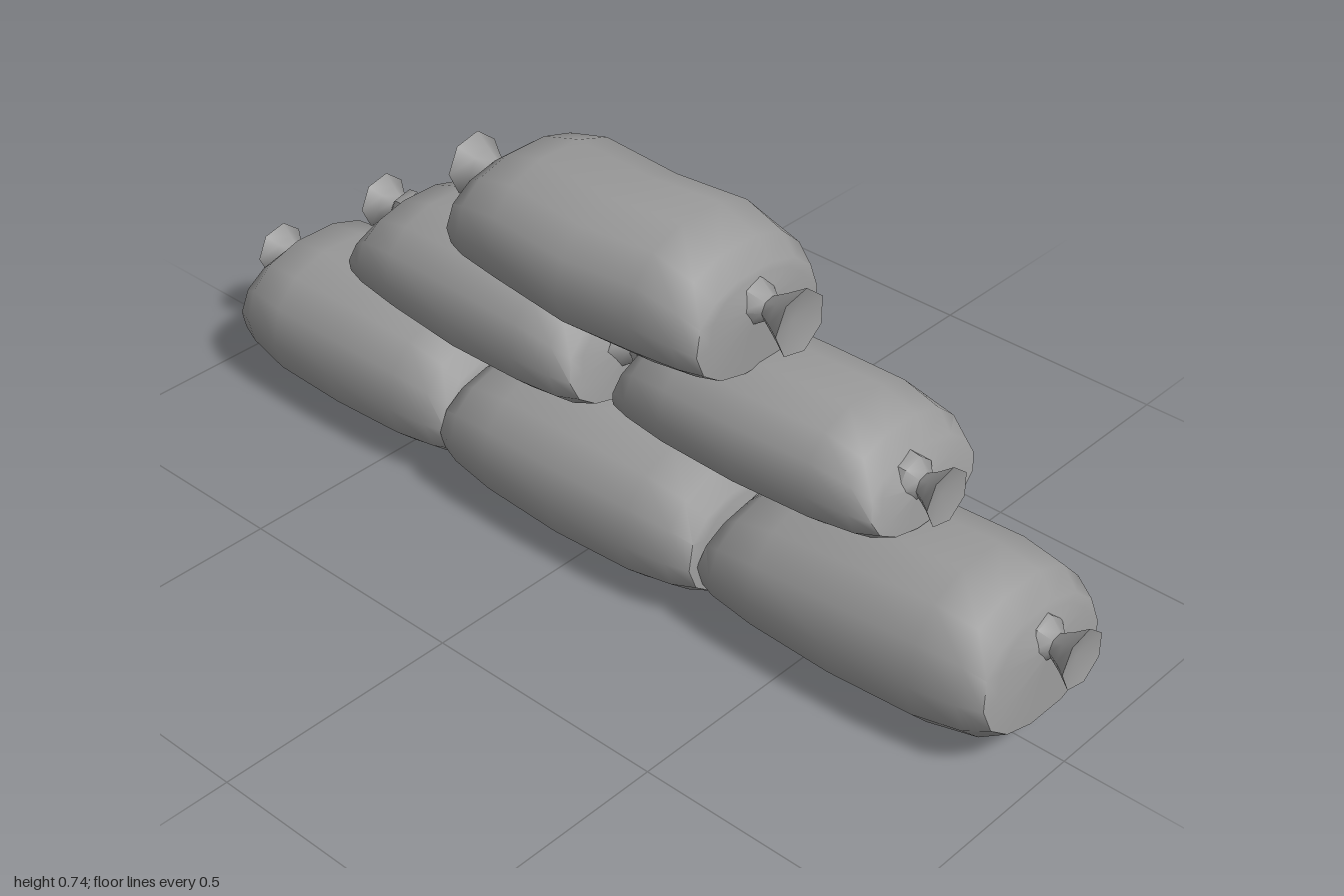
import * as THREE from 'three';
import { toCreasedNormals } from 'three/addons/utils/BufferGeometryUtils.js';

const SIDES = 14;
const STATIONS = [0, 0.07, 0.22, 0.5, 0.78, 0.93, 1];
const FULLNESS = [0.84, 0.93, 0.98, 1, 0.98, 0.93, 0.84];

// x: body ends; z: back and front; top / bottom: heights along the body;
// knot: [y, z, length] at the low-x end and the high-x end
const BAGS = [
  { name: 'bottomRightBag', x: [-0.93, -0.33], z: [-0.19, 0.2], tilt: 0.018,
    top: [0.26, 0.295, 0.303, 0.308, 0.298, 0.275, 0.24], bottom: [0.06, 0.04, 0.012, 0.006, 0.014, 0.032, 0.05],
    knots: [[0.2, 0, 0.085], [0.18, 0, 0.06]] },
  { name: 'bottomMiddleBag', x: [-0.34, 0.3], z: [-0.18, 0.205], tilt: 0.01,
    top: [0.235, 0.265, 0.288, 0.293, 0.29, 0.272, 0.24], bottom: [0.05, 0.035, 0.012, 0, 0.008, 0.03, 0.05],
    knots: [[0.17, 0, 0.06], [0.17, 0, 0.06]] },
  { name: 'bottomLeftBag', x: [0.3, 0.93], z: [-0.205, 0.185], tilt: 0.018,
    top: [0.23, 0.265, 0.295, 0.32, 0.33, 0.315, 0.275], bottom: [0.055, 0.04, 0.022, 0.008, 0.014, 0.04, 0.075],
    knots: [[0.17, 0, 0.06], [0.215, -0.02, 0.085]] },
  { name: 'middleRightBag', x: [-0.625, -0.03], z: [-0.18, 0.16], tilt: 0.022,
    top: [0.46, 0.5, 0.525, 0.53, 0.515, 0.49, 0.455], bottom: [0.32, 0.305, 0.285, 0.262, 0.264, 0.275, 0.295],
    knots: [[0.43, -0.02, 0.08], [0.395, -0.02, 0.085]] },
  { name: 'middleLeftBag', x: [0.045, 0.64], z: [-0.21, 0.128], tilt: 0.022,
    top: [0.45, 0.485, 0.503, 0.506, 0.508, 0.485, 0.445], bottom: [0.295, 0.285, 0.272, 0.268, 0.276, 0.295, 0.32],
    knots: [[0.395, -0.02, 0.085], [0.4, -0.02, 0.08]] },
  { name: 'topBag', x: [-0.315, 0.295], z: [-0.193, 0.188], tilt: 0.01,
    top: [0.69, 0.72, 0.745, 0.733, 0.748, 0.717, 0.68], bottom: [0.51, 0.5, 0.485, 0.466, 0.472, 0.485, 0.495],
    knots: [[0.63, 0, 0.105], [0.62, 0, 0.11]] },
];

// Rounded, slightly boxy section; wide point sits just below mid height
function ring(x, top, bottom, zBack, zFront, tilt) {
  const yMid = bottom + (top - bottom) * 0.46;
  const zMid = (zBack + zFront) / 2;
  const round = v => Math.sign(v) * Math.pow(Math.abs(v), 0.88);
  return Array.from({ length: SIDES }, (_, j) => {
    const a = (j / SIDES) * Math.PI * 2;
    const s = round(Math.sin(a));
    const y = yMid + s * (s > 0 ? top - yMid : yMid - bottom);
    return [x - tilt * s, y, zMid + round(Math.cos(a)) * (zFront - zBack) / 2];
  });
}

function bodyGeometry(bag) {
  const [x0, x1] = bag.x;
  const zMid = (bag.z[0] + bag.z[1]) / 2;
  const zHalf = (bag.z[1] - bag.z[0]) / 2;
  // Gathered cloth rings that close each end around its knot
  const gather = (end, k) => {
    const side = end ? 1 : -1;
    const i = end ? 6 : 0;
    const [y, z] = bag.knots[end];
    const w = zHalf * FULLNESS[i] * k;
    const mixY = v => y + (v - y) * k;
    const c = z + (zMid - z) * k;
    return ring(bag.x[end] + side * 0.012 * (1 - k), mixY(bag.top[i]), mixY(bag.bottom[i]),
      c - w, c + w, side * bag.tilt * k);
  };
  const rings = [gather(0, 0.15), gather(0, 0.8)];
  STATIONS.forEach((u, i) => {
    const w = zHalf * FULLNESS[i];
    const lean = Math.pow(Math.abs(2 * u - 1), 3) * Math.sign(u - 0.5);
    rings.push(ring(x0 + (x1 - x0) * u, bag.top[i], bag.bottom[i], zMid - w, zMid + w, bag.tilt * lean));
  });
  rings.push(gather(1, 0.8), gather(1, 0.15));

  const index = [];
  for (let i = 0; i < rings.length - 1; i++) {
    for (let j = 0; j < SIDES; j++) {
      const a = i * SIDES + j, b = i * SIDES + (j + 1) % SIDES;
      index.push(a, a + SIDES, b, b, a + SIDES, b + SIDES);
    }
  }
  const g = new THREE.BufferGeometry();
  g.setAttribute('position', new THREE.Float32BufferAttribute(rings.flat(2), 3));
  g.setIndex(index);
  return toCreasedNormals(g, 0.9);
}

// Pinched neck flaring into a tied tuft, pointing along x
function knotGeometry(length, side) {
  const r = 0.035 + length * 0.27;
  const profile = [[0.05, -0.012], [0.047, 0.012], [0.024, length * 0.4],
    [r * 0.65, length * 0.68], [r, length], [0.0001, length * 0.85]];
  const g = new THREE.LatheGeometry(profile.map(p => new THREE.Vector2(...p)), 7);
  g.rotateZ(-side * Math.PI / 2);
  return toCreasedNormals(g, 0.8);
}

export function createModel() {
  const cloth = new THREE.MeshStandardMaterial({ color: 0x999999 });
  cloth.name = 'grey cloth';
  const model = new THREE.Group();
  model.name = 'sandbagPile';

  for (const bag of BAGS) {
    const group = new THREE.Group();
    group.name = bag.name;
    const body = new THREE.Mesh(bodyGeometry(bag), cloth);
    body.name = 'bagBody';
    group.add(body);
    bag.knots.forEach(([y, z, length], end) => {
      const side = end ? 1 : -1;
      const knot = new THREE.Mesh(knotGeometry(length, side), cloth);
      knot.name = end ? 'leftKnot' : 'rightKnot';
      knot.position.set(bag.x[end] - side * 0.015, y, z);
      group.add(knot);
    });
    model.add(group);
  }
  return model;
}
